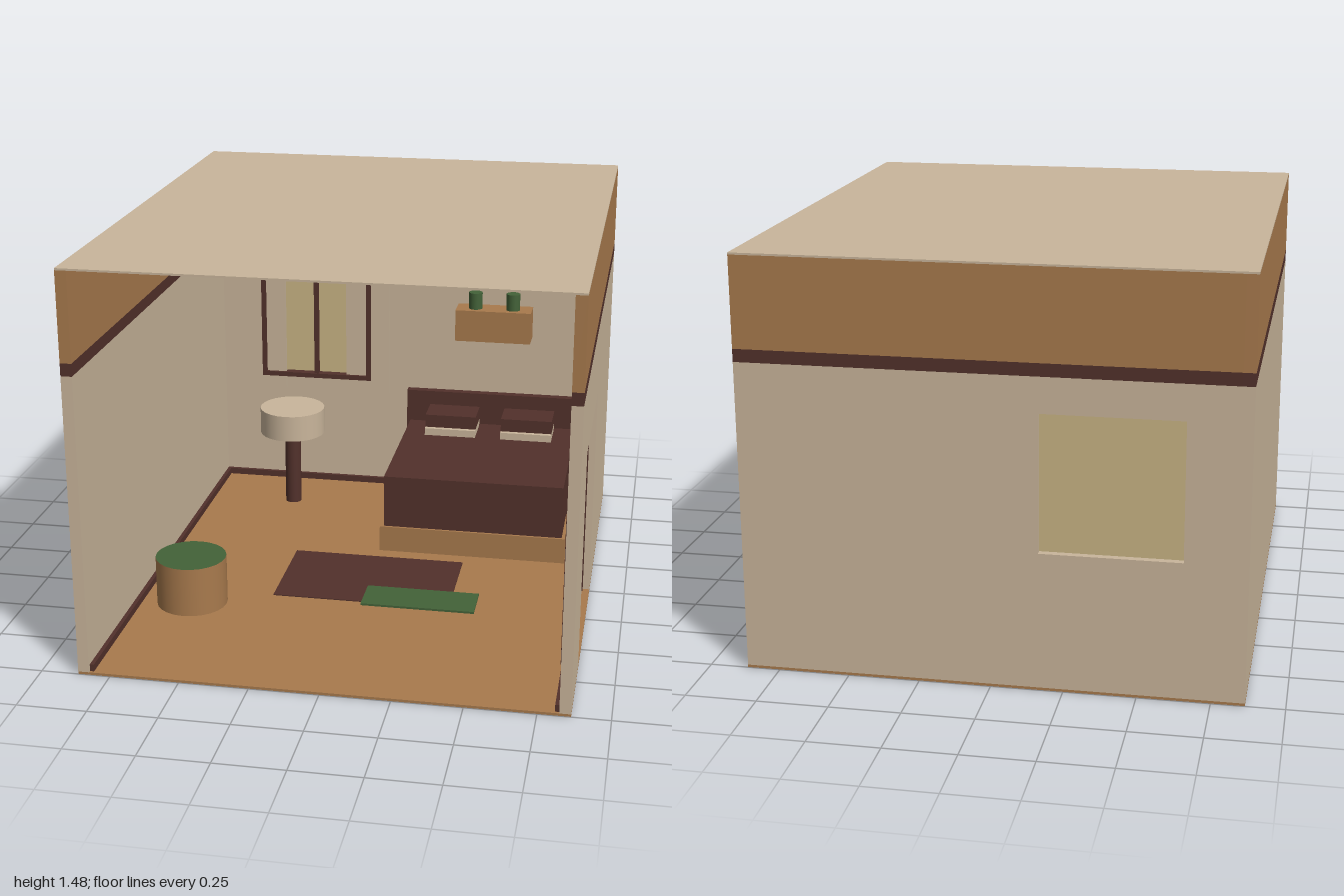
import * as THREE from 'three';

function material(name, color) {
  const m = new THREE.MeshStandardMaterial({ color });
  m.name = name;
  return m;
}

export function createModel() {
  const room = new THREE.Group();
  room.name = 'bedroom';
  const cream = material('cream plaster', 0xc9b59b);
  const wood = material('warm wood', 0xa87a4d);
  const dark = material('dark wood', 0x52312b);
  const green = material('leaf green', 0x436238);
  const pane = material('window pane', 0xc9b585);

  // Box given by its lower and upper limits on each axis
  function box(name, mat, x0, x1, y0, y1, z0, z1) {
    const mesh = new THREE.Mesh(new THREE.BoxGeometry(x1 - x0, y1 - y0, z1 - z0), mat);
    mesh.position.set((x0 + x1) / 2, (y0 + y1) / 2, (z0 + z1) / 2);
    mesh.name = name;
    room.add(mesh);
  }
  function cylinder(name, mat, r, x, z, y0, y1, sides = 24) {
    const mesh = new THREE.Mesh(new THREE.CylinderGeometry(r, r, y1 - y0, sides), mat);
    mesh.position.set(x, (y0 + y1) / 2, z);
    mesh.name = name;
    room.add(mesh);
  }

  const X = 0.865, IN = 0.825, BACK = -0.96;

  // Floor with seams underneath, and roof
  box('floor', wood, -X, X, 0.001, 0.01, -1, 1);
  for (const x of [-0.41, 0, 0.41]) box('floorSeam', dark, x - 0.003, x + 0.003, 0, 0.005, -0.99, 0.99);
  box('roof', cream, -X, X, 1.468, 1.475, -1, 1);

  // Three stacked wall courses: plaster, dark trim, wood
  const LOW = 1.105;
  for (const [name, mat, y0, y1] of [['wallTrim', dark, LOW, 1.15], ['upperWall', wood, 1.15, 1.468]]) {
    box(name, mat, -X, -IN, y0, y1, -1, 1);
    box(name, mat, IN, X, y0, y1, -1, 1);
    box(name, mat, -IN, IN, y0, y1, -1, BACK);
  }
  box('leftoverWall', cream, -X, -IN, 0.01, LOW, -1, 1);
  // Wall with the doorway
  const D0 = 0.005, D1 = 0.648, DT = 0.815;
  box('doorWall', cream, IN, X, 0.01, LOW, -1, D0);
  box('doorWall', cream, IN, X, 0.01, LOW, D1, 1);
  box('doorWall', cream, IN, X, DT, LOW, D0, D1);
  // Back wall with the window opening
  const W0 = -0.65, W1 = -0.165, WB = 0.495, WT = 0.98;
  box('backWall', cream, -IN, W0, 0.01, LOW, -1, BACK);
  box('backWall', cream, W1, IN, 0.01, LOW, -1, BACK);
  box('backWall', cream, W0, W1, 0.01, WB, -1, BACK);
  box('backWall', cream, W0, W1, WT, LOW, -1, BACK);

  // Baseboards
  box('baseboard', dark, -IN, IN, 0.01, 0.036, BACK, BACK + 0.015);
  box('baseboard', dark, -IN, -IN + 0.015, 0.01, 0.036, BACK, 0.99);
  box('baseboard', dark, IN - 0.015, IN, 0.01, 0.036, BACK, D0);
  box('baseboard', dark, IN - 0.015, IN, 0.01, 0.036, D1, 0.99);

  // Ceiling beams
  for (const z of [-0.63, -0.21, 0.21, 0.63]) box('ceilingBeam', dark, -0.815, 0.81, 1.42, 1.465, z - 0.025, z + 0.025);

  // Door, frame and handle
  box('door', wood, 0.812, 0.832, 0.012, DT - 0.02, D0 + 0.02, D1 - 0.02);
  box('doorFrame', dark, 0.803, 0.84, 0.01, DT, D0, D0 + 0.02);
  box('doorFrame', dark, 0.803, 0.84, 0.01, DT, D1 - 0.02, D1);
  box('doorFrame', dark, 0.803, 0.84, DT - 0.017, DT, D0, D1);
  box('doorHandle', dark, 0.78, 0.812, 0.36, 0.42, 0.08, 0.1);

  // Window, frame and mullion
  box('windowPane', pane, W0, W1, WB, WT, -0.975, -0.968);
  for (const x of [W0 + 0.01, W1 - 0.01]) box('windowFrame', dark, x - 0.01, x + 0.01, WB, WT, -0.967, -0.93);
  for (const y of [WB + 0.01, WT - 0.01]) box('windowFrame', dark, W0, W1, y - 0.01, y + 0.01, -0.967, -0.93);
  box('mullion', dark, -0.417, -0.4, WB, WT, -0.967, -0.935);

  // Curtains and rod
  box('curtain', cream, -0.73, -0.545, 0.44, 1.037, -0.955, -0.94);
  box('curtain', cream, -0.275, -0.085, 0.44, 1.037, -0.955, -0.94);
  box('curtainRod', dark, -0.76, -0.055, 1.037, 1.05, -0.955, -0.935);

  // Bed
  box('bedBase', wood, 0, 0.75, 0.01, 0.115, -0.94, -0.22);
  box('blanket', dark, 0.015, 0.737, 0.115, 0.33, -0.92, -0.23);
  box('headboard', dark, 0, 0.75, 0.24, 0.468, -0.955, -0.92);
  for (const x of [0.213, 0.537]) {
    box('pillow', cream, x - 0.108, x + 0.108, 0.33, 0.36, -0.9, -0.74);
    box('cushion', dark, x - 0.108, x + 0.108, 0.36, 0.415, -0.9, -0.76);
  }

  // Wall shelf with two plants
  box('shelf', wood, 0.215, 0.535, 0.725, 0.86, BACK, -0.85);
  for (const x of [0.295, 0.455]) cylinder('plant', green, 0.029, x, -0.9, 0.86, 0.93, 16);

  // Floor lamp with a broad shade, and a stool with a green seat
  cylinder('lampPost', dark, 0.034, -0.463, -0.69, 0.01, 0.34, 16);
  cylinder('lampShade', cream, 0.137, -0.463, -0.69, 0.33, 0.44);
  cylinder('stool', [wood, green, wood], 0.134, -0.623, 0.376, 0.01, 0.2);

  // Rug and mat
  box('rug', dark, -0.33, 0.35, 0.01, 0.014, -0.15, 0.272);
  box('mat', green, 0.016, 0.45, 0.01, 0.018, 0.137, 0.3);

  return room;
}
